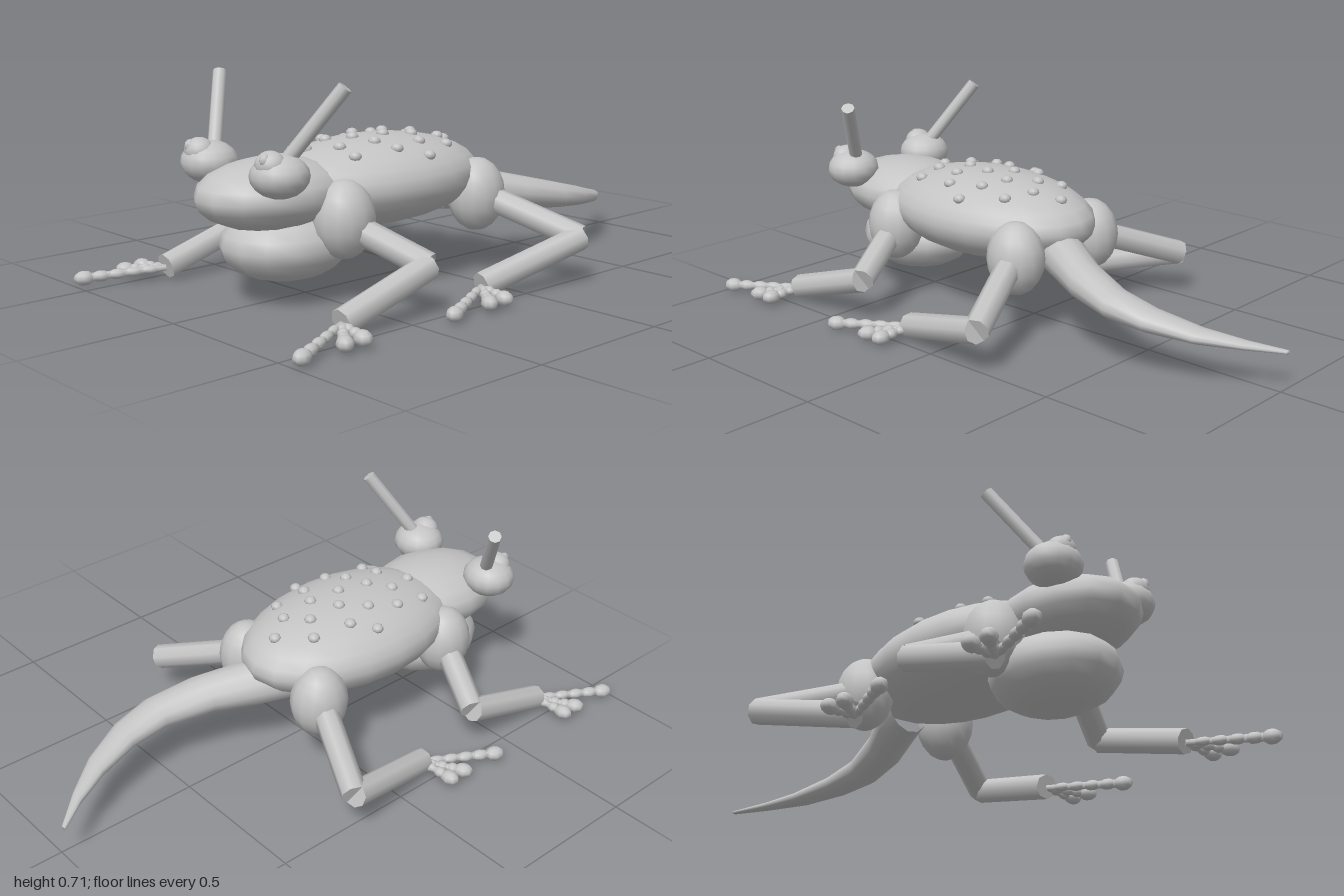
import * as THREE from 'three';

const skin = new THREE.MeshStandardMaterial({ color: 0xc4c4c4 });
skin.name = 'light grey skin';

const ball = new THREE.SphereGeometry(1, 14, 10);
const bead = new THREE.SphereGeometry(1, 8, 6);

function blob(parent, name, pos, radii, geo = ball) {
  const m = new THREE.Mesh(geo, skin);
  m.name = name;
  m.position.set(...pos);
  m.scale.set(...radii);
  parent.add(m);
  return m;
}

// Cylinder running between two points
function rod(parent, name, a, b, r0, r1 = r0, sides = 8) {
  const p = new THREE.Vector3(...a), q = new THREE.Vector3(...b);
  const d = q.clone().sub(p);
  const m = new THREE.Mesh(new THREE.CylinderGeometry(r1, r0, d.length(), sides), skin);
  m.name = name;
  m.position.copy(p).add(q).multiplyScalar(0.5);
  m.quaternion.setFromUnitVectors(new THREE.Vector3(0, 1, 0), d.normalize());
  parent.add(m);
}

// Toe: a thin stem and a chain of beads that grow towards the tip
function toe(parent, a, b, count) {
  const p = new THREE.Vector3(...a), q = new THREE.Vector3(...b);
  const angle = Math.atan2(q.x - p.x, q.z - p.z);
  const step = p.distanceTo(q) / count;
  rod(parent, 'toeStem', a, b, 0.01, 0.015, 6);
  for (let i = 1; i <= count; i++) {
    const t = i / count;
    const c = p.clone().lerp(q, t);
    const w = i === count ? 0.027 : 0.015 + 0.007 * t;
    const m = blob(parent, 'toeBead', [c.x, c.y, c.z],
      [w, w * 0.9, i === count ? 0.034 : step * 0.6], bead);
    m.rotation.y = angle;
  }
}

function leg(s, name, hip, knee, ankle) {
  const g = new THREE.Group();
  g.name = name;
  const side = ([x, y, z]) => [x * s, y, z];
  blob(g, 'joint', side([0.19, 0.275, hip[2]]), [0.095, 0.125, 0.1]);
  rod(g, 'upperLeg', side(hip), side(knee), 0.043);
  rod(g, 'lowerLeg', side(knee), side(ankle), 0.043);
  // Three toes spread outwards and forwards
  const [x, , z] = ankle;
  toe(g, side([x, 0.045, z]), side([x + 0.115, 0.035, z + 0.02]), 3);
  toe(g, side([x, 0.045, z]), side([x + 0.115, 0.033, z + 0.085]), 4);
  toe(g, side([x, 0.045, z]), side([x + 0.118, 0.03, z + 0.238]), 5);
  return g;
}

// Tail skinned over elliptical cross-sections [x, y, z, rx, ry]
function tail() {
  const rings = [
    [0.0, 0.28, -0.08, 0.09, 0.085], [0.055, 0.262, -0.2, 0.09, 0.075],
    [0.13, 0.24, -0.34, 0.08, 0.062], [0.176, 0.213, -0.5, 0.069, 0.048],
    [0.167, 0.19, -0.635, 0.06, 0.036], [0.117, 0.163, -0.78, 0.046, 0.024],
    [0.045, 0.143, -0.9, 0.026, 0.014], [-0.032, 0.125, -1, 0.01, 0.006],
  ];
  const n = 12, pos = [], idx = [];
  for (const [x, y, z, rx, ry] of rings) {
    for (let j = 0; j < n; j++) {
      const a = (j / n) * Math.PI * 2;
      pos.push(x + rx * Math.cos(a), y + ry * Math.sin(a), z);
    }
  }
  for (let i = 0; i < rings.length - 1; i++) {
    for (let j = 0; j < n; j++) {
      const a = i * n + j, b = i * n + (j + 1) % n;
      idx.push(a, a + n, b, b, a + n, b + n);
    }
  }
  const last = (rings.length - 1) * n;
  for (let j = 1; j < n - 1; j++) idx.push(last, last + j + 1, last + j);
  const geo = new THREE.BufferGeometry();
  geo.setAttribute('position', new THREE.Float32BufferAttribute(pos, 3));
  geo.setIndex(idx);
  geo.computeVertexNormals();
  const m = new THREE.Mesh(geo, skin);
  m.name = 'tail';
  return m;
}

export function createModel() {
  const root = new THREE.Group();
  root.name = 'creature';

  // Body, head and throat
  const bc = [0, 0.345, 0.21], br = [0.272, 0.147, 0.43];
  blob(root, 'body', bc, br, new THREE.SphereGeometry(1, 20, 14));
  blob(root, 'head', [0, 0.35, 0.625], [0.203, 0.113, 0.263]);
  blob(root, 'throat', [0, 0.185, 0.575], [0.197, 0.119, 0.218]);
  root.add(tail());

  // Warts scattered over the back, [x, z]
  const warts = [
    [0, -0.12], [-0.1, -0.035], [0.05, -0.04], [0.14, 0.005], [-0.03, 0.01], [-0.13, 0.1],
    [-0.04, 0.13], [0.05, 0.08], [0.13, 0.12], [0.21, 0.15], [-0.19, 0.17], [-0.1, 0.21],
    [0.03, 0.19], [0.16, 0.245], [0.09, 0.28], [0.005, 0.3], [-0.14, 0.31], [-0.06, 0.36],
    [0.06, 0.4], [0.14, 0.405], [-0.14, 0.43], [-0.03, 0.465],
  ];
  for (const [x, z] of warts) {
    const k = 1 - (x / br[0]) ** 2 - ((z - bc[2]) / br[2]) ** 2;
    blob(root, 'wart', [x, bc[1] + br[1] * Math.sqrt(k), z], [0.021, 0.017, 0.021], bead);
  }

  for (const s of [1, -1]) {
    const prefix = s > 0 ? 'left' : 'right';
    // Eye with pupil, glint and stalk
    blob(root, prefix + 'Eye', [0.177 * s, 0.438, 0.732], [0.094, 0.068, 0.09]);
    blob(root, prefix + 'Pupil', [0.18 * s, 0.475, 0.767], [0.051, 0.043, 0.046]);
    blob(root, prefix + 'Glint', [0.19 * s, 0.492, 0.792], [0.016, 0.022, 0.022], bead);
    rod(root, prefix + 'Antenna', [0.175 * s, 0.47, 0.715], [0.311 * s, 0.7, 0.59], 0.023);

    // Legs
    root.add(leg(s, prefix + 'FrontLeg', [0.2, 0.265, 0.495], [0.45, 0.155, 0.385], [0.447, 0.05, 0.73]));
    root.add(leg(s, prefix + 'BackLeg', [0.2, 0.28, -0.09], [0.525, 0.155, -0.235], [0.445, 0.05, 0.15]));
  }
  return root;
}
